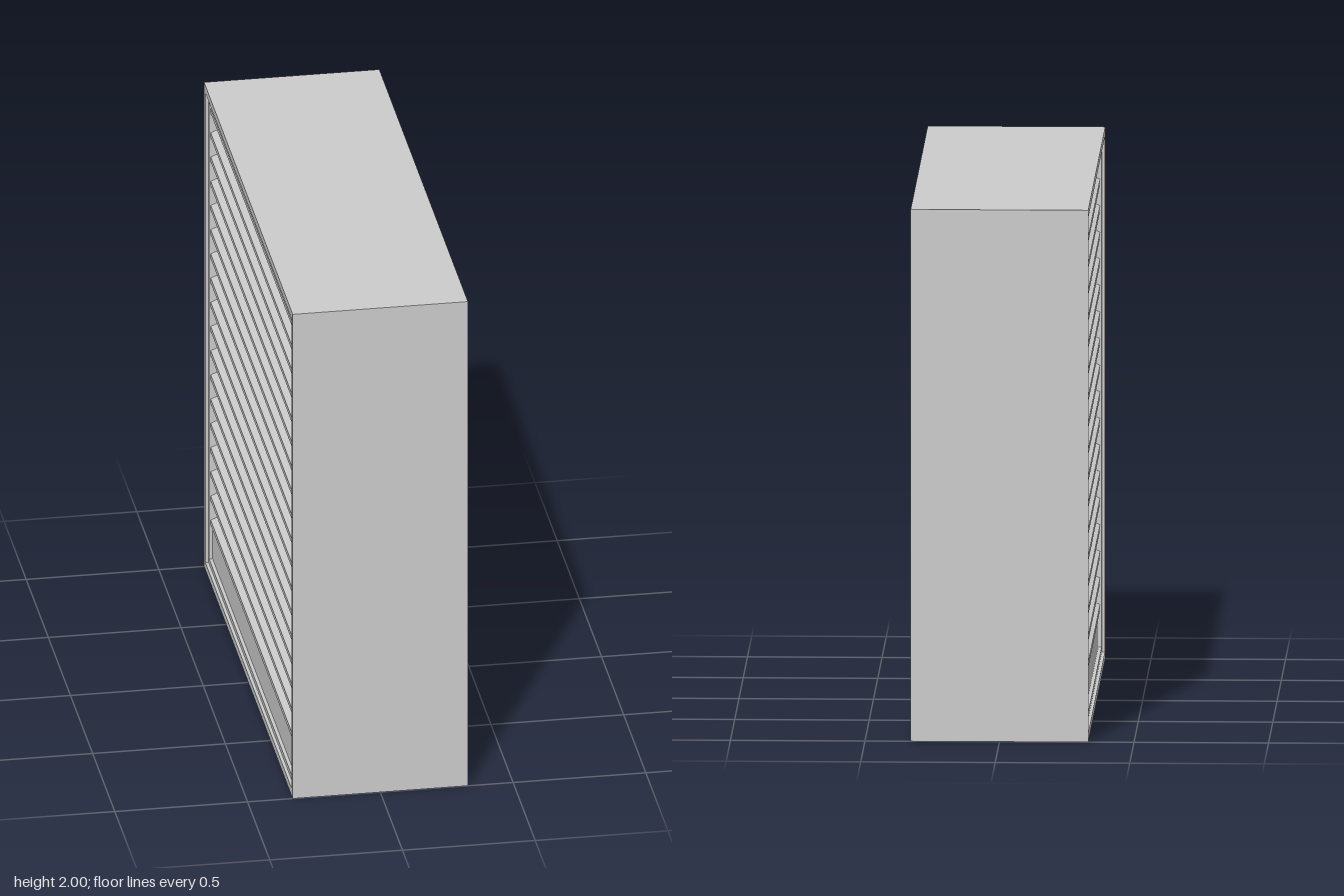
import * as THREE from 'three';

const W = 0.33, WALL = 0.03;
const mat = new THREE.MeshStandardMaterial({ color: 0xcccccc, flatShading: true });

function box(name, x0, x1, y0, y1, z0, z1) {
  const m = new THREE.Mesh(new THREE.BoxGeometry(x1 - x0, y1 - y0, z1 - z0), mat);
  m.position.set((x0 + x1) / 2, (y0 + y1) / 2, (z0 + z1) / 2);
  m.name = name;
  return m;
}

export function createModel() {
  const model = new THREE.Group();
  model.name = 'louvredCabinet';

  // Casing: closed on +x, open on -x
  const casing = new THREE.Group();
  casing.name = 'casing';
  const inner = 1 - WALL;
  casing.add(
    box('backPanel', W - WALL, W, 0, 2, -1, 1),
    box('topPanel', -W, W - WALL, 2 - WALL, 2, -1, 1),
    box('frontWall', -W, W - WALL, WALL, 2 - WALL, inner, 1),
    box('rearWall', -W, W - WALL, WALL, 2 - WALL, -1, -inner)
  );

  // Bottom panel with a small drain hole
  const floor = new THREE.Shape();
  floor.moveTo(-W, -1).lineTo(W - WALL, -1).lineTo(W - WALL, 1).lineTo(-W, 1).closePath();
  const hole = new THREE.Path();
  hole.absarc(0.06, 0.67, 0.014, 0, Math.PI * 2, true);
  floor.holes.push(hole);
  const floorGeo = new THREE.ExtrudeGeometry(floor, { depth: WALL, bevelEnabled: false, curveSegments: 8 });
  floorGeo.rotateX(Math.PI / 2).translate(0, WALL, 0);
  const bottom = new THREE.Mesh(floorGeo, mat);
  bottom.name = 'bottomPanel';
  casing.add(bottom);
  model.add(casing);

  // Slim inner frame around the opening
  const frame = new THREE.Group();
  frame.name = 'openingFrame';
  const f = -W + 0.012, b = f + 0.04, edge = inner - 0.012;
  frame.add(
    box('frameTop', f, b, 1.955, 2 - WALL, -inner, inner),
    box('frameSill', f, b, WALL, 0.05, -inner, inner),
    box('frameFront', f, b, 0.05, 1.955, edge, inner),
    box('frameRear', f, b, 0.05, 1.955, -inner, -edge)
  );
  model.add(frame);

  // Kick plate under the louvres
  model.add(box('kickPlate', -W + 0.025, -W + 0.04, 0.05, 0.19, -edge, edge));

  // Sloping blade with a downturned lip, extruded across the opening
  const blade = new THREE.Shape();
  blade.moveTo(0, -0.02).lineTo(0, 0).lineTo(0.19, 0.078).lineTo(0.19, 0.066)
    .lineTo(0.01, -0.008).lineTo(0.01, -0.02).closePath();
  const bladeGeo = new THREE.ExtrudeGeometry(blade, { depth: 2 * edge, bevelEnabled: false });
  bladeGeo.translate(0, 0, -edge);
  const louvres = new THREE.Group();
  louvres.name = 'louvres';
  for (let i = 0; i < 18; i++) {
    const m = new THREE.Mesh(bladeGeo, mat);
    m.name = 'louvreBlade';
    m.position.set(-W + 0.018, 0.21 + i * 0.1, 0);
    louvres.add(m);
  }
  model.add(louvres);
  return model;
}
